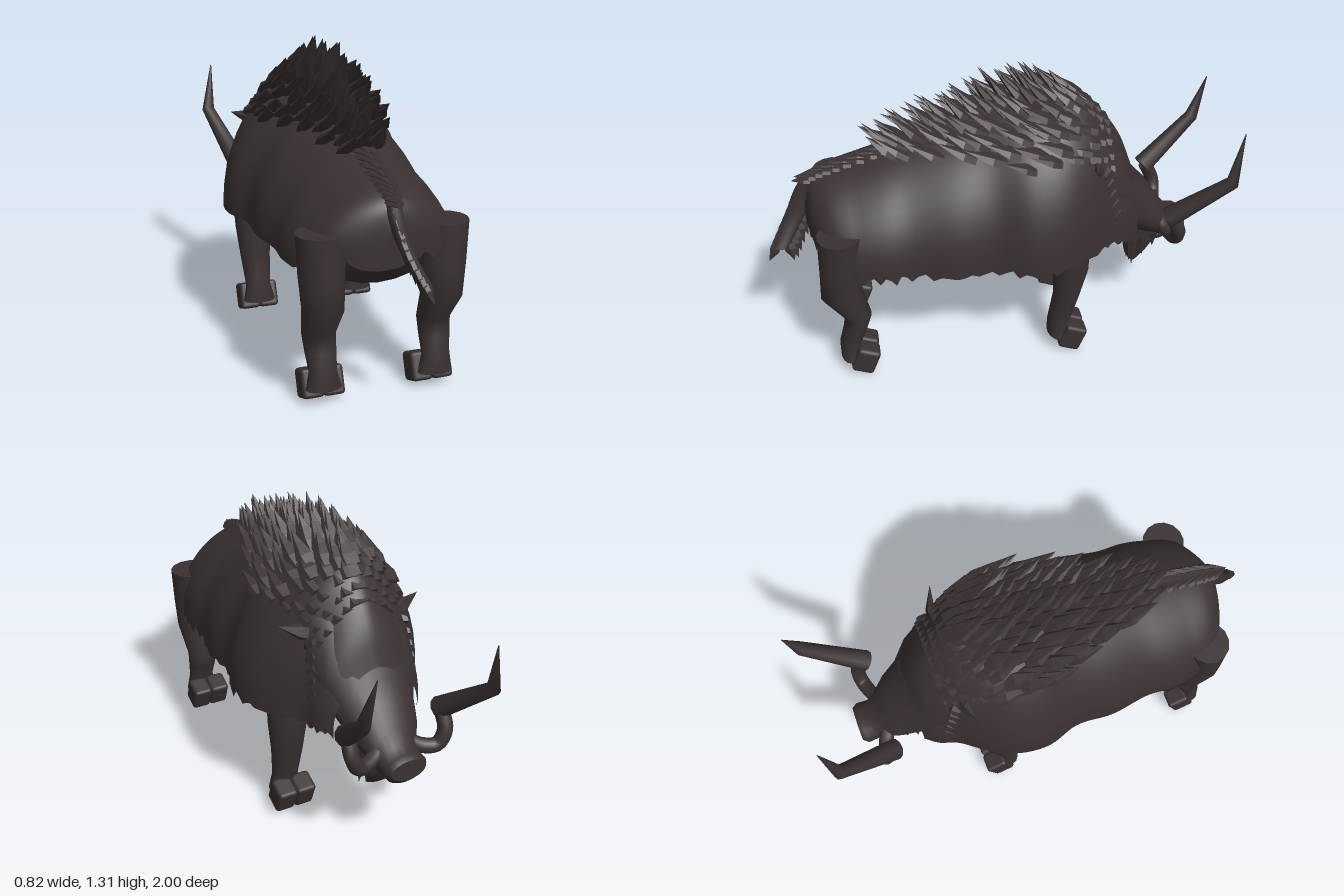
import * as THREE from 'three';
import { mergeGeometries } from 'three/addons/utils/BufferGeometryUtils.js';
import { RoundedBoxGeometry } from 'three/addons/geometries/RoundedBoxGeometry.js';

const V = (x, y, z) => new THREE.Vector3(x, y, z);

// small seeded random
function makeRandom(seed) {
  return () => {
    seed = (seed * 16807) % 2147483647;
    return seed / 2147483647;
  };
}

// surface through rings of points, optionally closed around and capped
function loft(rings, closed = true, caps = true) {
  const n = rings[0].length, pos = [], idx = [];
  rings.forEach(r => r.forEach(p => pos.push(p.x, p.y, p.z)));
  for (let i = 0; i < rings.length - 1; i++) {
    for (let j = 0; j < (closed ? n : n - 1); j++) {
      const a = i * n + j, b = i * n + (j + 1) % n;
      idx.push(a, b, a + n, b, b + n, a + n);
    }
  }
  if (caps) {
    [rings[0], rings[rings.length - 1]].forEach((r, end) => {
      const start = pos.length / 3;
      const c = r.reduce((s, p) => s.add(p), V(0, 0, 0)).divideScalar(n);
      [...r, c].forEach(p => pos.push(p.x, p.y, p.z));
      for (let j = 0; j < n; j++) {
        const a = start + j, b = start + (j + 1) % n;
        if (end) idx.push(a, b, start + n); else idx.push(b, a, start + n);
      }
    });
  }
  const g = new THREE.BufferGeometry();
  g.setAttribute('position', new THREE.Float32BufferAttribute(pos, 3));
  g.setIndex(idx);
  g.computeVertexNormals();
  return g;
}

// ring of an ellipse across z, and one lying flat across y
const ringZ = (z, cy, rx, ry, n = 20) => Array.from({ length: n }, (_, i) => {
  const a = i / n * Math.PI * 2;
  return V(rx * Math.cos(a), cy + ry * Math.sin(a), z);
});
const ringY = (y, cx, cz, rx, rz, n = 14) => Array.from({ length: n }, (_, i) => {
  const a = -i / n * Math.PI * 2;
  return V(cx + rx * Math.cos(a), y, cz + rz * Math.sin(a));
});

// flat-sided leaf-like lock of hair along a direction, its tip curving up
function tuft(base, dir, length, width, bend = 0.03) {
  const g = new THREE.ConeGeometry(width, length, 5, 3);
  g.translate(0, length / 2, 0);
  const p = g.attributes.position;
  for (let i = 0; i < p.count; i++) {
    const t = p.getY(i) / length;
    const bulge = t > 0.2 && t < 0.8 ? 1.6 : 1;
    p.setXYZ(i, p.getX(i) * bulge, p.getY(i), p.getZ(i) * 0.5 * bulge);
  }
  g.applyQuaternion(new THREE.Quaternion().setFromUnitVectors(V(0, 1, 0), dir.clone().normalize()));
  g.translate(base.x, base.y, base.z);
  const len = dir.length();
  for (let i = 0; i < p.count; i++) {
    const t = V(p.getX(i), p.getY(i), p.getZ(i)).sub(base).dot(dir) / (len * length);
    p.setY(i, p.getY(i) + bend * t * t);
  }
  const flat = g.toNonIndexed();
  flat.computeVertexNormals();
  return flat;
}

export function createModel() {
  const root = new THREE.Group();
  const hide = new THREE.MeshStandardMaterial({ name: 'darkHide', color: 0x3a3131, side: THREE.DoubleSide });
  const add = (name, geometry, parent = root) => {
    const m = new THREE.Mesh(geometry, hide);
    m.name = name;
    parent.add(m);
    return m;
  };
  const rand = makeRandom(77);

  // humped coat: half width, top height, z
  const spine = new THREE.CatmullRomCurve3([
    [0.03, 0.76, 0.83], [0.16, 0.84, 0.80], [0.27, 0.88, 0.74], [0.325, 0.91, 0.65], [0.35, 0.95, 0.52],
    [0.345, 0.99, 0.40], [0.372, 1.05, 0.22], [0.365, 1.11, 0.06], [0.41, 1.16, -0.09], [0.395, 1.18, -0.23],
    [0.335, 1.15, -0.35], [0.265, 1.05, -0.45], [0.235, 0.93, -0.53], [0.195, 0.79, -0.585],
  ].map(p => V(...p)));
  const coatPoint = (u, a) => {
    const s = spine.getPoint(u);
    const low = 0.56 + 0.1 * Math.max(0, (s.z - 0.62) / 0.2);
    const c = Math.cos(a);
    return V(s.x * Math.sign(c) * Math.abs(c) ** 1.28, low + (s.y - low) * Math.sin(a), s.z);
  };
  const coat = [];
  for (let i = 0; i <= 72; i++) {
    const ring = [];
    for (let j = 0; j <= 24; j++) ring.push(coatPoint(i / 72, j / 24 * Math.PI));
    // ragged lower hem
    for (const end of [0, 24]) {
      const p = ring[end].clone();
      p.y -= (i % 3 ? 0.012 : 0.03) + rand() * 0.025;
      if (end) ring.push(p); else ring.unshift(p);
    }
    coat.push(ring);
  }
  add('coat', loft(coat, false, false));

  // belly
  add('belly', loft([
    [0.72, 0.62, 0.16, 0.08], [0.66, 0.60, 0.23, 0.13], [0.45, 0.60, 0.29, 0.15], [0.1, 0.60, 0.32, 0.17],
    [-0.2, 0.60, 0.31, 0.155], [-0.36, 0.61, 0.25, 0.13], [-0.46, 0.63, 0.16, 0.1],
  ].map(r => ringZ(...r))));

  // head and muzzle
  const head = new THREE.Group();
  head.name = 'head';
  root.add(head);
  add('skull', loft([
    [-0.38, 0.80, 0.25, 0.28], [-0.46, 0.75, 0.23, 0.24], [-0.53, 0.70, 0.21, 0.18], [-0.60, 0.605, 0.165, 0.145],
    [-0.67, 0.55, 0.14, 0.125], [-0.73, 0.49, 0.105, 0.09], [-0.77, 0.46, 0.09, 0.07],
    [-0.82, 0.455, 0.094, 0.065], [-0.843, 0.46, 0.078, 0.045],
  ].map(r => ringZ(...r))), head);
  add('lowerJaw', new THREE.SphereGeometry(1, 14, 10).scale(0.07, 0.04, 0.09).translate(0, 0.41, -0.71), head);

  // beard: a wedge with ragged locks
  add('beardCore', loft([
    [0.50, -0.66, 0.10, 0.08], [0.40, -0.665, 0.095, 0.065], [0.34, -0.645, 0.08, 0.05], [0.28, -0.62, 0.06, 0.022],
  ].map(([y, z, rx, rz]) => ringY(y, 0, z, rx, rz))), head);
  const beard = [];
  for (let row = 0; row < 3; row++) {
    for (let i = -2; i <= 2; i++) {
      const len = [0.235, 0.18, 0.13][row] - 0.008 * Math.abs(i) - rand() * 0.02;
      beard.push(tuft(V(i * 0.038, 0.48, -0.61 - row * 0.045), V(i * 0.02, -1, 0.02), len, 0.032, 0));
    }
  }
  add('beard', mergeGeometries(beard), head);

  for (const s of [-1, 1]) {
    // horns: curled root, thick shaft and upright point
    const rootCurve = new THREE.CatmullRomCurve3(
      [V(s * 0.06, 0.51, -0.715), V(s * 0.12, 0.48, -0.745), V(s * 0.18, 0.48, -0.765), V(s * 0.213, 0.54, -0.765), V(s * 0.213, 0.62, -0.73)]);
    add('hornRoot', new THREE.TubeGeometry(rootCurve, 20, 0.032, 10), head);
    const path = [V(s * 0.213, 0.615, -0.715), V(s * 0.285, 0.815, -0.955), V(s * 0.255, 1.03, -0.998)];
    const radii = [0.046, 0.03, 0.002];
    const up = [path[1].clone().sub(path[0]), path[2].clone().sub(path[0]), path[2].clone().sub(path[1])];
    add('horn', loft(path.map((p, k) => {
      const q = new THREE.Quaternion().setFromUnitVectors(V(0, 1, 0), up[k].normalize());
      return ringY(0, 0, 0, radii[k], radii[k], 10).map(v => v.applyQuaternion(q).add(p));
    })), head);

    // ears and cheek hair
    add('ear', tuft(V(s * 0.19, 0.90, -0.40), V(s * 0.12, 0.03, 0.04), 0.14, 0.034, 0.01), head);
    const cheek = [];
    for (let i = 0; i < 5; i++) {
      cheek.push(tuft(V(s * (0.2 + i * 0.004), 0.89 - i * 0.05, -0.44 - i * 0.012), V(s * 0.25, -0.5, 0.6), 0.12, 0.03, 0));
    }
    add('cheekHair', mergeGeometries(cheek), head);

    // legs with cloven hooves
    const legs = {
      hindLeg: [[0.72, 0.70, 0.097, 0.092], [0.55, 0.705, 0.092, 0.09], [0.41, 0.71, 0.082, 0.09], [0.29, 0.648, 0.07, 0.057],
        [0.22, 0.665, 0.065, 0.052], [0.14, 0.69, 0.057, 0.048], [0.07, 0.695, 0.075, 0.042]],
      frontLeg: [[0.72, -0.285, 0.093, 0.06], [0.55, -0.285, 0.088, 0.072], [0.42, -0.28, 0.082, 0.078], [0.29, -0.268, 0.07, 0.058],
        [0.2, -0.25, 0.062, 0.054], [0.14, -0.237, 0.057, 0.05], [0.07, -0.23, 0.075, 0.044]],
    };
    for (const [name, rows] of Object.entries(legs)) {
      const leg = new THREE.Group();
      leg.name = name;
      root.add(leg);
      add('limb', loft(rows.map(([y, z, rx, rz]) => ringY(y, s * (0.235 + y * 0.028), z, rx, rz))), leg);
      for (const k of [-1, 1]) {
        const toe = add('toe', new RoundedBoxGeometry(0.088, 0.12, 0.1, 2, 0.016), leg);
        toe.position.set(s * 0.232 + k * 0.044, 0.07, name === 'hindLeg' ? 0.632 : -0.29);
        toe.rotation.x = -0.38;
      }
    }
  }

  // mane: overlapping rows of locks swept backward, lying flat at the sides and over the neck
  const mane = [];
  for (let i = 0; i < 18; i++) {
    const f = i / 17;
    const u = 0.36 + f * 0.5;
    const grow = Math.min(1, f * 2);
    const spread = 0.3 + 0.5 * grow;
    const count = 4 + Math.round(6 * grow);
    const front = Math.max(0, f - 0.6) * 2;
    for (let j = 0; j < count; j++) {
      const off = ((j + (i % 2) * 0.5) / (count - 0.5) * 2 - 1) * spread + (rand() - 0.5) * 0.08;
      const a = Math.PI / 2 - off;
      const base = coatPoint(u, a);
      base.y -= 0.015;
      const side = Math.min(1, Math.abs(off) / 0.83);
      const lift = (0.5 + 0.2 * grow) * (1 - 0.8 * front) * (1 - 0.45 * side);
      const dir = V(Math.cos(a) * 0.3 * lift + (rand() - 0.5) * 0.15, Math.sin(a) * lift, 0.55 + rand() * 0.2);
      const len = (0.14 + rand() * 0.05) * (1 - 0.3 * front);
      mane.push(tuft(base, dir, len, 0.032 + rand() * 0.012, 0.03 * (1 - side)));
    }
  }
  // short hair along the rump
  for (let i = 0; i < 9; i++) {
    for (const k of [-1, 0, 1]) {
      const base = coatPoint(0.09 + i * 0.032, Math.PI / 2 + k * 0.16);
      base.y -= 0.005;
      mane.push(tuft(base, V(k * 0.2, 0, 1), 0.08 + rand() * 0.02, 0.022, 0));
    }
  }
  add('mane', mergeGeometries(mane));

  // tail with ragged hair
  const tailPath = new THREE.CatmullRomCurve3([V(0, 0.86, 0.77), V(0, 0.79, 0.82), V(0.015, 0.70, 0.865), V(0.045, 0.62, 0.91), V(0.075, 0.56, 0.945)]);
  const tail = [];
  for (let i = 0; i <= 10; i++) {
    const p = tailPath.getPoint(i / 10);
    tail.push(ringY(p.y, p.x, p.z, 0.032 - i * 0.001, 0.055 - i * 0.002, 10));
  }
  add('tail', loft(tail));
  const hairs = [];
  for (let i = 0; i < 9; i++) {
    const p = tailPath.getPoint(0.15 + i * 0.1);
    for (const k of [-1, 1]) {
      const len = Math.min(0.1, p.y - 0.49);
      hairs.push(tuft(V(p.x, p.y, p.z + k * 0.025), V(0.2, -0.75, 0.12 + k * 0.3), len, 0.024, 0));
    }
  }
  add('tailHair', mergeGeometries(hairs));

  return root;
}
